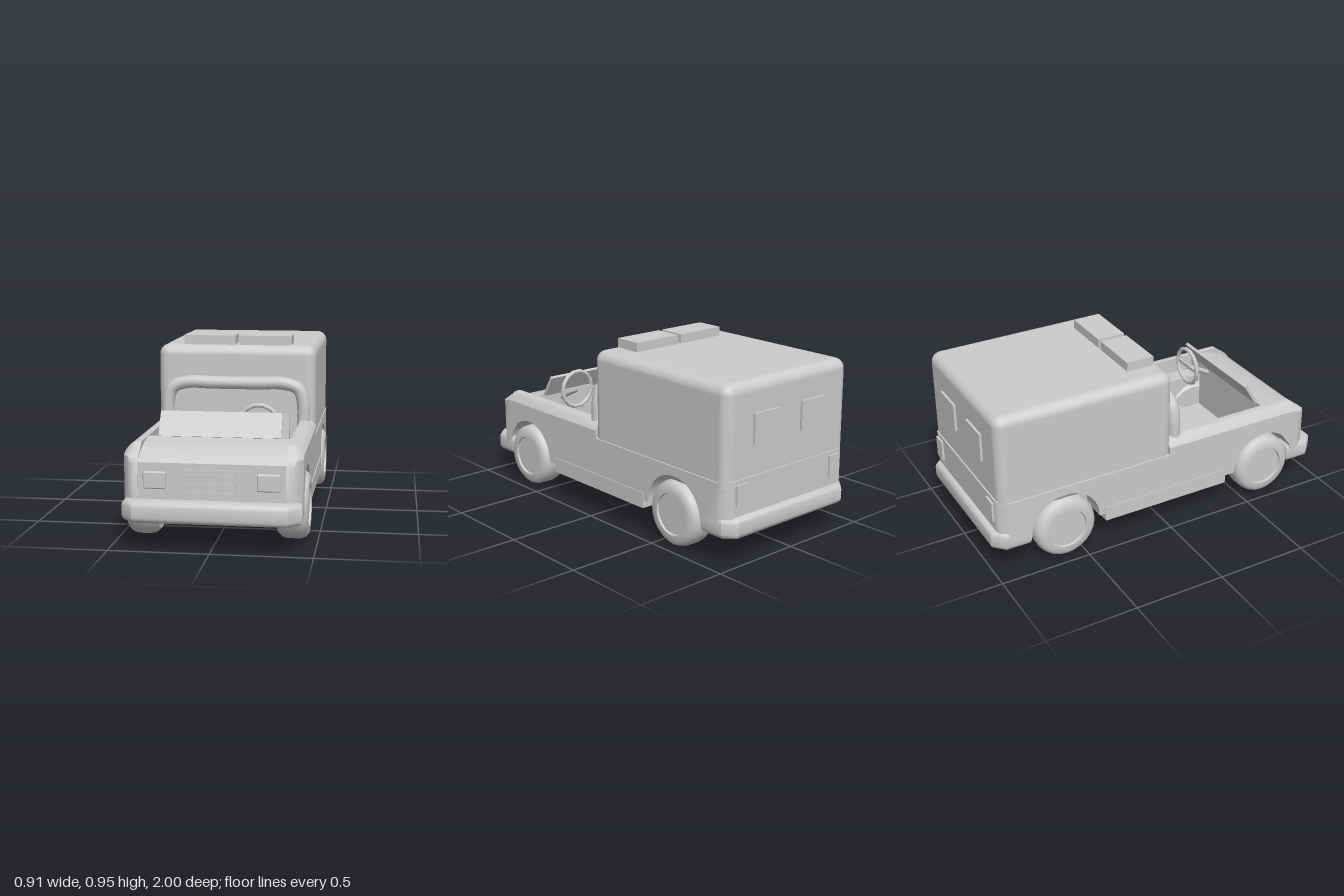
import * as THREE from 'three';
import { toCreasedNormals } from 'three/addons/utils/BufferGeometryUtils.js';
import { RoundedBoxGeometry } from 'three/addons/geometries/RoundedBoxGeometry.js';

const material = new THREE.MeshStandardMaterial({ color: 0xcccccc });
const FRONT = 0.635, REAR = -0.6, AXLE_Y = 0.173, BOTTOM = 0.18;

export function createModel() {
  const model = new THREE.Group();

  const add = (name, geometry) => {
    const mesh = new THREE.Mesh(geometry, material);
    mesh.name = name;
    model.add(mesh);
    return mesh;
  };
  const pair = (name, geometry) => {
    add(name + 'Left', geometry);
    add(name + 'Right', geometry).scale.x = -1;
  };
  // box given by its limits on each axis
  const box = (x0, x1, y0, y1, z0, z1, radius = 0) => {
    const size = [x1 - x0, y1 - y0, z1 - z0];
    const g = radius ? new RoundedBoxGeometry(...size, 4, radius) : new THREE.BoxGeometry(...size);
    return g.translate((x0 + x1) / 2, (y0 + y1) / 2, (z0 + z1) / 2);
  };
  // side outline in (z, y), extruded from x0 to x1
  const slab = (shape, x0, x1, steps = 1) =>
    new THREE.ExtrudeGeometry(shape, { depth: x1 - x0, steps, bevelEnabled: false, curveSegments: 16 })
      .rotateY(-Math.PI / 2).translate(x1, 0, 0);
  // side outline with a wheel arch cut from its lower edge
  const archedShape = (back, front, archZ, top) => {
    const s = new THREE.Shape();
    s.moveTo(back, BOTTOM);
    s.lineTo(archZ - 0.195, BOTTOM);
    s.absarc(archZ, BOTTOM, 0.195, Math.PI, 0, true);
    s.lineTo(front, BOTTOM);
    top.forEach(([z, y]) => s.lineTo(z, y));
    return s;
  };
  // outer body panel whose top and end edges curve in towards the outside
  const bodyPanel = (shape, topY, drop, endZ) => {
    const g = slab(shape, 0.36, 0.44, 8);
    const p = g.attributes.position;
    for (let i = 0; i < p.count; i++) {
      const t = THREE.MathUtils.clamp((p.getX(i) - 0.38) / 0.06, 0, 1) ** 2;
      p.setY(i, Math.min(p.getY(i), topY - drop * t));
      const limit = Math.abs(endZ) - 0.06 * t;
      if (Math.sign(p.getZ(i)) === Math.sign(endZ) && Math.abs(p.getZ(i)) > limit) {
        p.setZ(i, Math.sign(endZ) * limit);
      }
    }
    return toCreasedNormals(g, 0.6);
  };

  // Front body: fenders and cab sides
  pair('cabSide', bodyPanel(
    archedShape(0.02, 0.93, FRONT, [[0.93, 0.42], [0.91, 0.45], [0.83, 0.51], [0.02, 0.51]]), 0.51, 0.045, 0.93));
  pair('innerFender', slab(
    archedShape(0.43, 0.925, FRONT, [[0.925, 0.42], [0.43, 0.42]]), 0.265, 0.36));
  add('engineBay', box(-0.265, 0.265, BOTTOM, 0.42, 0.66, 0.925));
  const hood = new THREE.Shape();
  hood.moveTo(0.66, 0.38);
  hood.lineTo(0.925, 0.38);
  [[0.925, 0.425], [0.9, 0.448], [0.85, 0.472], [0.76, 0.497], [0.66, 0.508]].forEach(([z, y]) => hood.lineTo(z, y));
  add('hood', toCreasedNormals(slab(hood, -0.36, 0.36), 0.6));

  // Rear body below the canopy
  const rearTop = [[0.02, 0.43], [-0.97, 0.43]];
  pair('rearSide', bodyPanel(archedShape(-0.97, 0.02, REAR, rearTop), 0.43, 0.008, -0.97));
  pair('rearInnerSide', slab(archedShape(-0.97, 0.02, REAR, rearTop), 0.3, 0.36));
  add('rearBody', box(-0.3, 0.3, BOTTOM, 0.43, -0.97, 0.02));
  add('canopy', box(-0.435, 0.435, 0.33, 0.905, -0.962, 0.04, 0.055));

  // Cab interior
  add('cabFloor', box(-0.36, 0.36, BOTTOM, 0.22, 0.02, 0.43));
  add('footwellFloor', box(-0.265, 0.265, BOTTOM, 0.22, 0.43, 0.66));
  add('seatCushion', box(-0.305, 0.305, 0.22, 0.35, 0.15, 0.42));
  const seatBack = add('seatBack', box(-0.305, 0.305, 0, 0.24, -0.02, 0.02));
  seatBack.position.set(0, 0.31, 0.165);
  seatBack.rotation.x = -0.1;

  // Windscreen
  const windscreen = add('windscreen', box(-0.31, 0.31, 0, 0.138, -0.008, 0.008));
  windscreen.position.set(0, 0.505, 0.66);
  windscreen.rotation.x = -0.55;

  // Steering wheel, spoke and column
  add('steeringWheel', new THREE.TorusGeometry(0.103, 0.012, 8, 14).translate(0.18, 0.55, 0.515));
  add('steeringSpoke', box(0.08, 0.28, 0.54, 0.56, 0.51, 0.522));
  add('steeringColumn', new THREE.TubeGeometry(
    new THREE.LineCurve3(new THREE.Vector3(0.18, 0.55, 0.51), new THREE.Vector3(0.18, 0.46, 0.68)), 1, 0.014, 8));

  // Roll bar
  const halfBar = [[0.375, 0.46], [0.375, 0.53], [0.372, 0.6], [0.348, 0.675], [0.27, 0.705], [0.12, 0.705]];
  const barPoints = [...halfBar.map(([x, y]) => [-x, y]), ...halfBar.slice().reverse()]
    .map(([x, y]) => new THREE.Vector3(x, y, 0.08));
  add('rollBar', new THREE.TubeGeometry(new THREE.CatmullRomCurve3(barPoints), 48, 0.035, 12));

  // Bumpers: a bar that wraps round the corners
  const plan = [[0.44, 0.8], [0.44, 0.94], [0.38, 1], [-0.38, 1], [-0.44, 0.94], [-0.44, 0.8],
    [-0.33, 0.8], [-0.33, 0.88], [0.33, 0.88], [0.33, 0.8]];
  const bumper = toCreasedNormals(new THREE.ExtrudeGeometry(
    new THREE.Shape(plan.map(([x, z]) => new THREE.Vector2(x, z))),
    { depth: 0.05, bevelThickness: 0.03, bevelSize: 0.03, bevelOffset: -0.03, bevelSegments: 3 })
    .rotateX(Math.PI / 2).translate(0, 0.215, 0), 0.7);
  add('frontBumper', bumper);
  add('rearBumper', bumper).rotation.y = Math.PI;

  // Wheels
  const tyreProfile = [[0.105, 0.3], [0.145, 0.3], [0.165, 0.32], [0.173, 0.35], [0.173, 0.41],
    [0.165, 0.438], [0.145, 0.455], [0.11, 0.455], [0.105, 0.44]].map(([r, x]) => new THREE.Vector2(r, x));
  const tyre = toCreasedNormals(new THREE.LatheGeometry(tyreProfile, 24).rotateZ(-Math.PI / 2), 0.75);
  const hub = new THREE.CylinderGeometry(0.106, 0.106, 0.143, 24).rotateZ(-Math.PI / 2).translate(0.3735, 0, 0);
  [['front', FRONT], ['rear', REAR]].forEach(([end, z]) => {
    pair(end + 'Tyre', tyre.clone().translate(0, AXLE_Y, z));
    pair(end + 'Hub', hub.clone().translate(0, AXLE_Y, z));
  });

  // Running boards
  pair('runningBoard', box(0.37, 0.445, 0.138, 0.222, -0.37, 0.38));

  // Lamps, windows and grille
  pair('headlamp', box(0.222, 0.334, 0.297, 0.383, 0.9, 0.94, 0.008));
  pair('rearLamp', box(0.3, 0.375, 0.295, 0.41, -0.982, -0.95));
  pair('rearWindow', box(0.08, 0.255, 0.59, 0.745, -0.975, -0.95));
  pair('roofLamp', box(0.012, 0.298, 0.88, 0.955, -0.16, -0.005));
  add('grillePlate', box(-0.135, 0.135, 0.25, 0.395, 0.9, 0.935));
  [0.278, 0.322, 0.366].forEach((y, i) =>
    add('grilleBar' + (i + 1), box(-0.12, 0.12, y - 0.01, y + 0.01, 0.92, 0.945)));

  return model;
}
